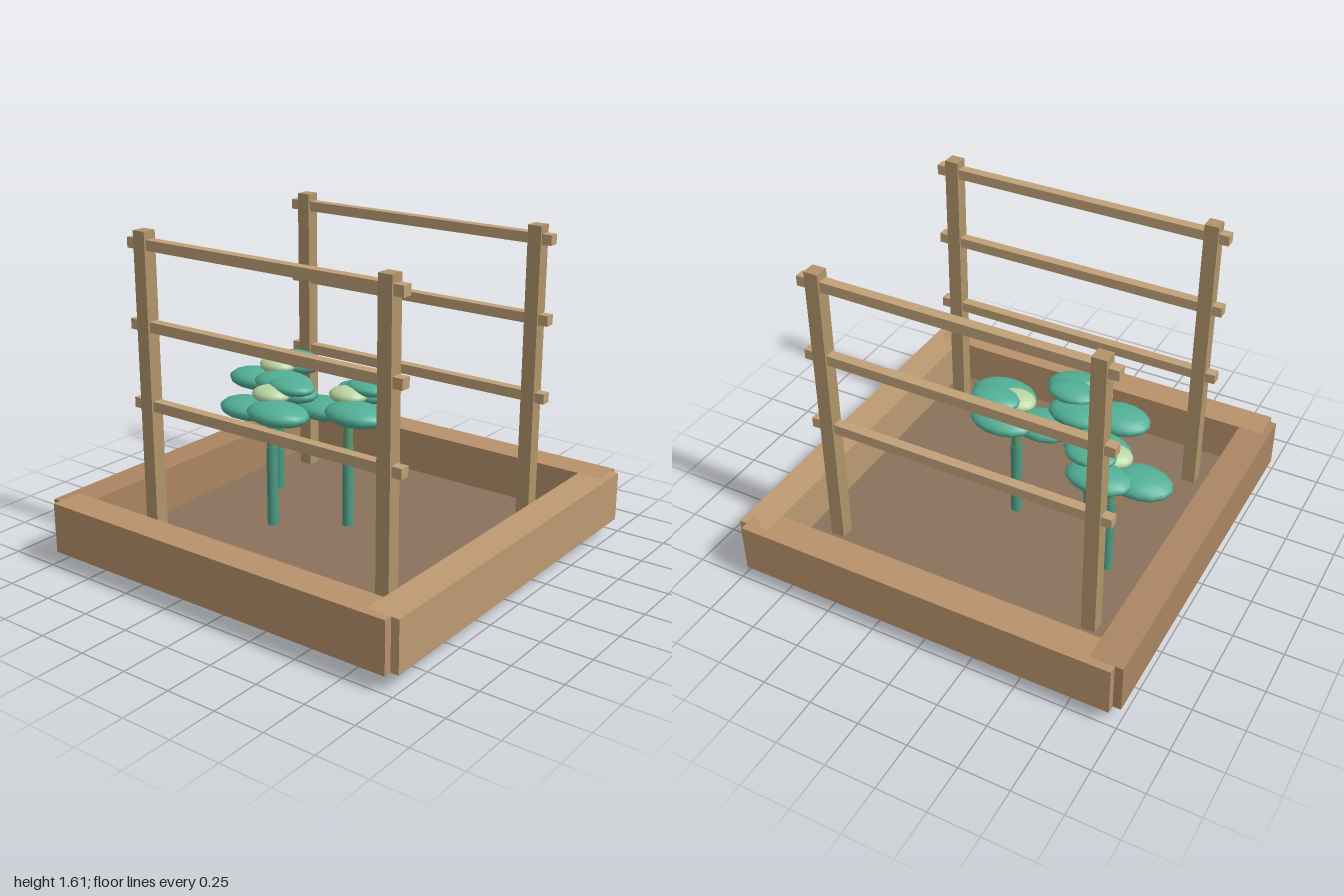
import * as THREE from 'three';

const mat = (color, flatShading = false) => new THREE.MeshStandardMaterial({ color, flatShading });

export function createModel() {
  const model = new THREE.Group();
  model.name = 'gardenBed';

  const add = (parent, name, geometry, material, x, y, z) => {
    const mesh = new THREE.Mesh(geometry, material);
    mesh.name = name;
    mesh.position.set(x, y, z);
    parent.add(mesh);
    return mesh;
  };
  const box = (w, h, d) => new THREE.BoxGeometry(w, h, d);

  // Raised bed: four boards around a slab of soil
  const boards = new THREE.Group();
  boards.name = 'bedFrame';
  model.add(boards);
  const endWood = mat(0xb8916c), leftWood = mat(0xbd9a72), rightWood = mat(0xab8562);
  add(boards, 'frontBoard', box(1.92, 0.25, 0.16), endWood, 0, 0.205, 0.92);
  add(boards, 'backBoard', box(1.92, 0.25, 0.16), endWood, 0, 0.205, -0.92);
  add(boards, 'leftBoard', box(0.16, 0.25, 1.92), leftWood, 0.92, 0.205, 0);
  add(boards, 'rightBoard', box(0.16, 0.25, 1.92), rightWood, -0.92, 0.205, 0);
  add(model, 'soil', box(1.664, 0.06, 1.664), mat(0x8a725c), 0, 0.08, 0);

  // Two trellises, each with two posts and three rails
  const postWood = mat(0xb0946a), railWood = mat(0xc0a078);
  for (const side of [1, -1]) {
    const trellis = new THREE.Group();
    trellis.name = side > 0 ? 'frontTrellis' : 'backTrellis';
    trellis.position.z = side * 0.597;
    model.add(trellis);
    for (const x of [0.683, -0.683])
      add(trellis, 'post', box(0.07, 1.53, 0.07), postWood, x, 0.845, 0);
    for (const y of [0.775, 1.162, 1.547])
      add(trellis, 'rail', box(1.536, 0.05, 0.05), railWood, 0, y, 0);
  }

  // Plants: stem, neck, pale heart and four flattened leaves
  const stemMat = mat(0x4a9c85), neckMat = mat(0x5c9a6e);
  const leafMat = mat(0x52b096), heartMat = mat(0xb9d6a3);
  const stemGeo = new THREE.CylinderGeometry(0.028, 0.028, 0.52, 12);
  const neckGeo = new THREE.CylinderGeometry(0.023, 0.024, 0.13, 12);
  const ball = new THREE.SphereGeometry(1, 14, 10);
  // name, offset x, height, offset z, radii, material
  const blobs = [
    ['sideLeaf', -0.145, 0.69, 0, 0.155, 0.054, 0.115, leafMat],
    ['frontLeaf', 0.108, 0.732, 0.08, 0.168, 0.055, 0.12, leafMat],
    ['backLeaf', 0, 0.765, -0.142, 0.16, 0.05, 0.105, leafMat],
    ['topLeaf', 0.075, 0.82, -0.07, 0.125, 0.038, 0.087, leafMat],
    ['heart', 0, 0.787, 0, 0.1, 0.043, 0.08, heartMat],
  ];
  for (const [x, z] of [[-0.58, -0.21], [0, -0.04], [-0.302, 0.175]]) {
    const plant = new THREE.Group();
    plant.name = 'plant';
    plant.position.set(x, 0, z);
    model.add(plant);
    add(plant, 'stem', stemGeo, stemMat, 0, 0.26, 0);
    add(plant, 'neck', neckGeo, neckMat, 0, 0.58, 0);
    for (const [name, bx, by, bz, rx, ry, rz, material] of blobs)
      add(plant, name, ball, material, bx, by, bz).scale.set(rx, ry, rz);
  }
  return model;
}
